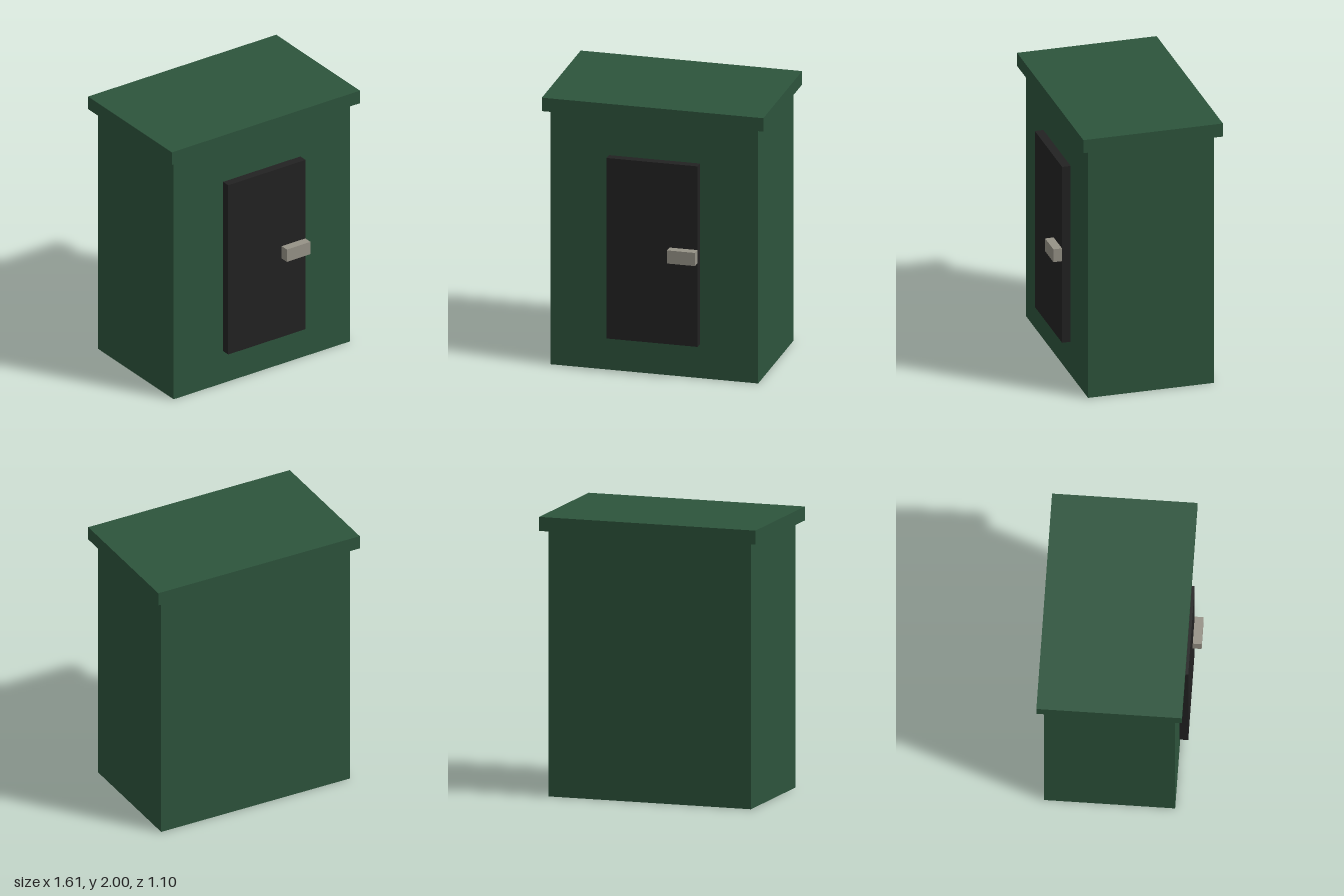
import * as THREE from 'three';

const material = (name, color) => {
  const m = new THREE.MeshStandardMaterial({ color });
  m.name = name;
  return m;
};

// Box spanning the given [min, max] ranges on each axis
function box(name, mat, [x0, x1], [y0, y1], [z0, z1]) {
  const mesh = new THREE.Mesh(new THREE.BoxGeometry(x1 - x0, y1 - y0, z1 - z0), mat);
  mesh.name = name;
  mesh.position.set((x0 + x1) / 2, (y0 + y1) / 2, (z0 + z1) / 2);
  return mesh;
}

export function createModel() {
  const green = material('green paint', 0x2d543c);
  const black = material('black door', 0x222222);
  const grey = material('warm grey handle', 0x969287);

  const shed = new THREE.Group();
  shed.name = 'shed';
  shed.add(
    // Main body and overhanging flat roof
    box('body', green, [-0.756, 0.756], [0, 1.9], [-0.5, 0.424]),
    box('roof', green, [-0.807, 0.807], [1.9, 2], [-0.55, 0.474]),
    // Raised door with a block handle at its edge
    box('door', black, [-0.332, 0.332], [0.254, 1.6], [0.424, 0.487]),
    box('handle', grey, [0.127, 0.33], [0.878, 0.976], [0.487, 0.55]),
  );
  return shed;
}
